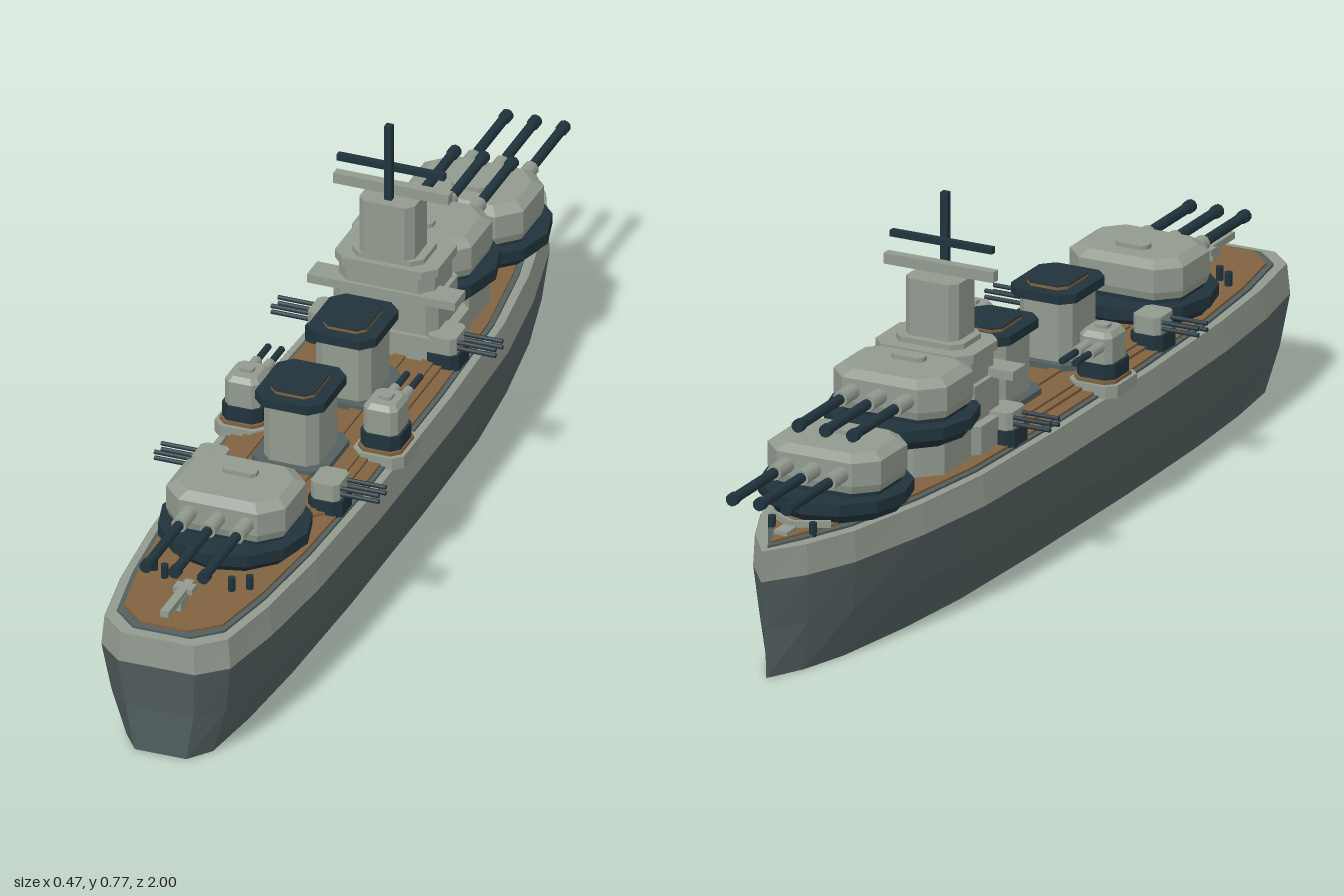
import * as THREE from 'three';

const mat = (name, color, side = THREE.FrontSide) => {
  const m = new THREE.MeshStandardMaterial({ color, side });
  m.name = name;
  return m;
};

// Skin closed rings of [x, y, z], given anticlockwise from above, with optional end caps
function loft(rings, caps = true) {
  const pos = [];
  const tri = (a, b, c) => pos.push(...a, ...b, ...c);
  const n = rings[0].length;
  for (let k = 0; k + 1 < rings.length; k++) {
    for (let i = 0; i < n; i++) {
      const j = (i + 1) % n, lo = rings[k], hi = rings[k + 1];
      tri(lo[i], lo[j], hi[j]);
      tri(lo[i], hi[j], hi[i]);
    }
  }
  if (caps) {
    const bottom = rings[0], top = rings[rings.length - 1];
    const mid = (r) => [0, 1, 2].map((a) => r.reduce((s, p) => s + p[a], 0) / n);
    for (let i = 0; i < n; i++) {
      const j = (i + 1) % n;
      tri(mid(top), top[i], top[j]);
      tri(mid(bottom), bottom[j], bottom[i]);
    }
  }
  const g = new THREE.BufferGeometry();
  g.setAttribute('position', new THREE.Float32BufferAttribute(pos, 3));
  g.computeVertexNormals();
  return g;
}

// Rectangle with cut corners: half width w, half depth d, cut c
const octagon = (w, d, c, y) => [
  [-w + c, y, d], [w - c, y, d], [w, y, d - c], [w, y, -d + c],
  [w - c, y, -d], [-w + c, y, -d], [-w, y, -d + c], [-w, y, d - c]];

// Ship outline from stern to bow, [half width, z]
const HALF = [[0.08, 1], [0.135, 0.95], [0.162, 0.8], [0.18, 0.6], [0.19, 0.3], [0.19, -0.1],
  [0.18, -0.4], [0.153, -0.6], [0.108, -0.8], [0.06, -0.91], [0, -0.99]];
function outline(y, xScale, zScale, inset = 0) {
  const right = HALF.map(([x, z]) => [Math.max(0, x * xScale - inset), y, z * zScale]);
  const left = right.slice(0, -1).reverse().map(([x, , z]) => [-x, y, z]);
  return [...right, ...left];
}

export function createModel() {
  const grey = mat('light grey', 0x929a8f, THREE.DoubleSide);
  const slate = mat('hull slate', 0x535f60, THREE.DoubleSide);
  const navy = mat('dark navy', 0x20333c);
  const wood = mat('deck wood', 0x80623f);

  const ship = new THREE.Group();
  ship.name = 'warship';
  const add = (parent, name, geo, material, x = 0, y = 0, z = 0) => {
    const m = new THREE.Mesh(geo, material);
    m.name = name;
    m.position.set(x, y, z);
    parent.add(m);
    return m;
  };
  const box = (p, name, m, w, h, d, x, y, z) => add(p, name, new THREE.BoxGeometry(w, h, d), m, x, y, z);
  const prism = (p, name, m, w, d, c, y0, y1, x = 0, z = 0) =>
    add(p, name, loft([octagon(w, d, c, y0), octagon(w, d, c, y1)]), m, x, 0, z);
  // Cylinder along z starting at z0
  const tube = (p, name, m, r, z0, z1, x, y) => {
    const g = new THREE.CylinderGeometry(r, r, z1 - z0, 10);
    g.rotateX(Math.PI / 2);
    return add(p, name, g, m, x, y, (z0 + z1) / 2);
  };

  // Hull shell, open underneath
  add(ship, 'lowerHull', loft([outline(0, 0.67, 0.978), outline(0.1, 0.89, 0.984), outline(0.205, 1, 1)], false), slate);
  add(ship, 'upperHull', loft([outline(0.205, 1, 1), outline(0.266, 0.96, 0.997)], false), grey);

  // Deck layers
  const layer = (name, m, y0, y1, inset, zs) =>
    add(ship, name, loft([outline(y0, 0.96, zs, inset), outline(y1, 0.96, zs, inset)]), m);
  layer('deckRim', grey, 0.256, 0.267, 0.001, 0.996);
  layer('waterway', slate, 0.266, 0.272, 0.017, 0.972);
  layer('woodDeck', wood, 0.27, 0.277, 0.026, 0.958);
  prism(ship, 'raisedDeck', wood, 0.13, 0.34, 0.03, 0.275, 0.283, 0, 0.13);
  for (const x of [-0.1, -0.04, 0.04, 0.1]) box(ship, 'deckPlank', wood, 0.025, 0.006, 0.62, x, 0.285, 0.13);

  // Main gun turret facing local +z, y = floor of the gun house
  function mainTurret(name, y, z, turned) {
    const t = new THREE.Group();
    t.name = name;
    t.position.set(0, y, z);
    t.rotation.y = turned ? Math.PI : 0;
    ship.add(t);
    const ring = new THREE.CylinderGeometry(0.152, 0.152, 0.024, 12).toNonIndexed();
    ring.computeVertexNormals();
    add(t, 'barbetteRing', ring, navy, 0, -0.018, 0.005);
    const base = new THREE.CylinderGeometry(0.15, 0.132, 0.022, 12).toNonIndexed();
    base.computeVertexNormals();
    add(t, 'barbetteBase', base, navy, 0, -0.039, 0.005);
    prism(t, 'turretCollar', navy, 0.115, 0.088, 0.04, -0.008, 0.008);
    add(t, 'gunHouse', loft([octagon(0.12, 0.092, 0.04, 0.004), octagon(0.125, 0.097, 0.042, 0.02),
      octagon(0.125, 0.097, 0.042, 0.068), octagon(0.105, 0.077, 0.035, 0.082)]), grey);
    prism(t, 'roofHatch', grey, 0.035, 0.016, 0.008, 0.08, 0.091, 0, -0.025);
    for (const x of [-0.06, 0, 0.06]) {
      tube(t, 'gunSleeve', grey, 0.016, 0.08, 0.15, x, 0.043);
      tube(t, 'gunBarrel', navy, 0.0105, 0.14, 0.325, x, 0.043);
      tube(t, 'gunMuzzle', navy, 0.013, 0.31, 0.327, x, 0.043);
    }
  }
  mainTurret('sternTurret', 0.325, 0.58, false);
  mainTurret('bowTurret', 0.325, -0.673, true);
  mainTurret('upperBowTurret', 0.39, -0.4, true);
  prism(ship, 'upperTurretBase', grey, 0.12, 0.1, 0.045, 0.27, 0.345, 0, -0.4);

  // Funnels
  for (const z of [-0.035, 0.24]) {
    prism(ship, 'funnelFoot', slate, 0.078, 0.085, 0.025, 0.275, 0.295, 0, z);
    prism(ship, 'funnel', grey, 0.058, 0.068, 0.02, 0.28, 0.425, 0, z);
    prism(ship, 'funnelCap', navy, 0.072, 0.084, 0.025, 0.42, 0.439, 0, z);
    prism(ship, 'funnelMouth', wood, 0.045, 0.058, 0.016, 0.437, 0.445, 0, z);
    prism(ship, 'funnelGrille', navy, 0.045, 0.058, 0.016, 0.445, 0.448, 0, z);
  }

  // Bridge tower, stacked from the deck up
  const bridge = new THREE.Group();
  bridge.name = 'bridge';
  ship.add(bridge);
  prism(bridge, 'bridgeBase', grey, 0.13, 0.08, 0.02, 0.275, 0.335, 0, -0.26);
  prism(bridge, 'bridgeHouse', grey, 0.11, 0.07, 0.02, 0.335, 0.41, 0, -0.26);
  box(bridge, 'bridgeWing', grey, 0.31, 0.018, 0.055, 0, 0.416, -0.21);
  prism(bridge, 'upperBridge', grey, 0.1, 0.07, 0.025, 0.41, 0.46, 0, -0.26);
  prism(bridge, 'bridgeRoof', grey, 0.108, 0.075, 0.025, 0.458, 0.476, 0, -0.262);
  prism(bridge, 'bridgeStep', grey, 0.075, 0.055, 0.02, 0.476, 0.487, 0, -0.255);
  prism(bridge, 'tower', grey, 0.058, 0.047, 0.015, 0.476, 0.604, 0, -0.247);
  box(bridge, 'rangefinder', grey, 0.242, 0.022, 0.02, 0, 0.62, -0.245);
  box(bridge, 'mast', navy, 0.015, 0.17, 0.014, 0, 0.684, -0.226);
  box(bridge, 'yardarm', navy, 0.225, 0.013, 0.014, 0, 0.67, -0.238);

  for (const s of [-1, 1]) {
    // Secondary turrets firing forward from side platforms
    const t = new THREE.Group();
    t.name = s > 0 ? 'leftSecondaryTurret' : 'rightSecondaryTurret';
    t.position.set(s * 0.145, 0, 0.155);
    t.rotation.y = Math.PI;
    ship.add(t);
    prism(t, 'platform', grey, 0.053, 0.058, 0.018, 0.266, 0.292);
    prism(t, 'platformFloor', wood, 0.045, 0.05, 0.016, 0.292, 0.299);
    prism(t, 'mount', navy, 0.042, 0.045, 0.016, 0.298, 0.33);
    add(t, 'gunHouse', loft([octagon(0.036, 0.04, 0.012, 0.328), octagon(0.036, 0.04, 0.012, 0.382),
      octagon(0.028, 0.032, 0.01, 0.393)]), grey);
    prism(t, 'hatch', grey, 0.014, 0.012, 0.004, 0.392, 0.4);
    for (const x of [-0.014, 0.014]) {
      tube(t, 'gunSleeve', grey, 0.011, 0.03, 0.085, x, 0.365);
      tube(t, 'gunBarrel', navy, 0.007, 0.08, 0.145, x, 0.365);
    }

    // Light quad guns firing outward
    for (const z of [-0.215, 0.4]) {
      const g = new THREE.Group();
      g.name = 'lightGunMount';
      g.position.set(s * 0.125, 0, z);
      g.rotation.y = s * Math.PI / 2;
      ship.add(g);
      prism(g, 'mount', navy, 0.04, 0.036, 0.014, 0.27, 0.306);
      prism(g, 'gunShield', grey, 0.035, 0.03, 0.01, 0.304, 0.342);
      for (const x of [-0.018, 0.018]) for (const y of [0.317, 0.33]) tube(g, 'lightBarrel', navy, 0.0045, 0.02, 0.11, x, y);
    }

    // Bollards and bow winches
    for (const [x, z] of [[0.07, 0.78], [0.1, 0.76], [0.045, -0.86]]) {
      add(ship, 'bollard', new THREE.CylinderGeometry(0.008, 0.008, 0.03, 8), navy, s * x, z > 0 ? 0.29 : 0.28, z);
    }
    const plate = box(ship, 'breakwater', grey, 0.075, 0.014, 0.008, s * 0.032, 0.283, -0.84);
    plate.rotation.y = -s * 0.5;
  }
  box(ship, 'bowHatch', grey, 0.03, 0.01, 0.04, 0, 0.28, -0.89);

  // Stern catapult
  box(ship, 'catapultStand', grey, 0.02, 0.025, 0.03, 0, 0.286, 0.88);
  box(ship, 'catapultBeam', grey, 0.018, 0.014, 0.135, 0, 0.302, 0.89);
  box(ship, 'catapultCradle', grey, 0.04, 0.012, 0.025, 0, 0.304, 0.85);

  return ship;
}
